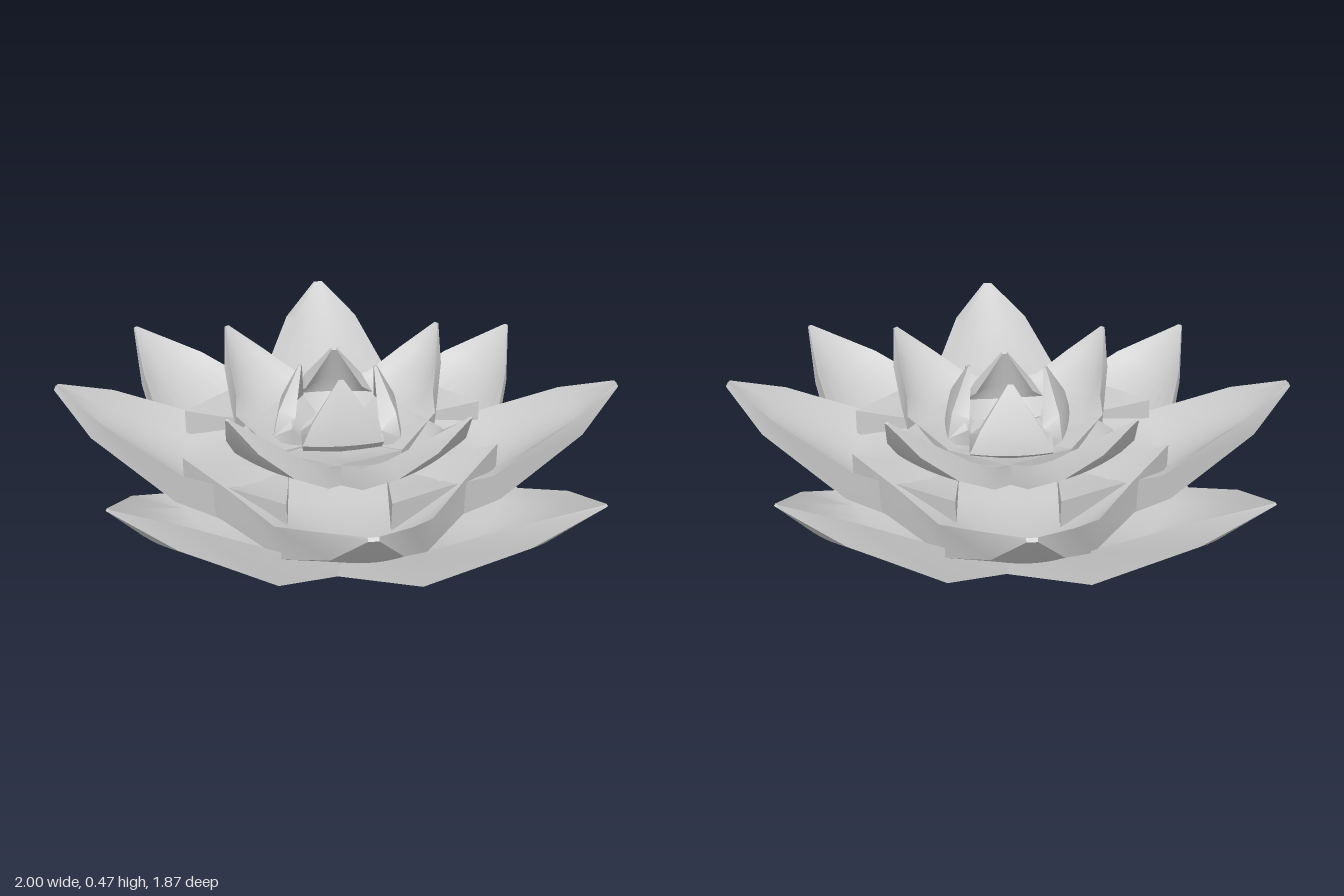
import * as THREE from 'three';
import { toCreasedNormals } from 'three/addons/utils/BufferGeometryUtils.js';

const material = new THREE.MeshStandardMaterial({ color: 0xcccccc, side: THREE.DoubleSide });
const SPAN = 8; // strips across a petal

// Closed petal from cross-sections: r, y on the underside midline, half width w
// (underside half width b), rim lift and thickness t along the profile normal.
function petalGeometry(stations) {
  const pos = [], index = [];
  const ring = 2 * (SPAN + 1);
  stations.forEach((s, i) => {
    const a = stations[Math.max(i - 1, 0)], b = stations[Math.min(i + 1, stations.length - 1)];
    const len = Math.hypot(b.r - a.r, b.y - a.y);
    const nr = -(b.y - a.y) / len, ny = (b.r - a.r) / len;
    const add = (x, h) => pos.push(x, s.y + ny * h, s.r + nr * h);
    for (let j = 0; j <= SPAN; j++) {
      const u = -1 + 2 * j / SPAN;
      add(u * s.b, s.lift * u * u * 0.2);
    }
    for (let j = SPAN; j >= 0; j--) {
      const u = -1 + 2 * j / SPAN;
      add(u * s.w, s.t + s.lift * u * u);
    }
  });
  // skin between neighbouring rings
  for (let i = 0; i < stations.length - 1; i++) {
    for (let j = 0; j < ring; j++) {
      const a = i * ring + j, b = i * ring + (j + 1) % ring;
      index.push(a, b, b + ring, a, b + ring, a + ring);
    }
  }
  // end caps
  const last = (stations.length - 1) * ring;
  for (let j = 0; j < SPAN; j++) {
    const k = ring - 1 - j;
    index.push(j, k, k - 1, j, k - 1, j + 1);
    index.push(last + j, last + j + 1, last + k - 1, last + j, last + k - 1, last + k);
  }
  const g = new THREE.BufferGeometry();
  g.setAttribute('position', new THREE.Float32BufferAttribute(pos, 3));
  g.setIndex(index);
  return toCreasedNormals(g, 0.8);
}

// Four petals of one kind, each turned and lengthened to reach its tip [x, z]
function whorl(name, stations, tips) {
  const group = new THREE.Group();
  group.name = name;
  const geometry = petalGeometry(stations);
  const reach = stations[stations.length - 1].r;
  tips.forEach(([x, z], i) => {
    const petal = new THREE.Mesh(geometry, material);
    petal.name = name + 'Petal' + (i + 1);
    petal.rotation.y = Math.atan2(x, z);
    petal.scale.z = Math.hypot(x, z) / reach;
    group.add(petal);
  });
  return group;
}

export function createModel() {
  const model = new THREE.Group();
  model.name = 'waterLily';

  // wide outer petals lying on the ground
  model.add(whorl('outer', [
    { r: 0.23, y: 0.01, w: 0.42, b: 0.44, lift: 0.03, t: 0.1 },
    { r: 0.57, y: 0.005, w: 0.27, b: 0.255, lift: 0.06, t: 0.06 },
    { r: 0.85, y: 0.19, w: 0.14, b: 0.115, lift: 0.06, t: 0.03 },
    { r: 1.0, y: 0.345, w: 0.006, b: 0.006, lift: 0, t: 0.008 },
  ], [[-0.02, 0.935], [1, 0], [0.02, -0.935], [-1, 0]]));

  // second ring, on the diagonals, with broad thick bases
  model.add(whorl('second', [
    { r: 0.16, y: 0.11, w: 0.5, b: 0.5, lift: 0.06, t: 0.09 },
    { r: 0.35, y: 0.105, w: 0.36, b: 0.36, lift: 0.06, t: 0.075 },
    { r: 0.55, y: 0.1, w: 0.235, b: 0.215, lift: 0.05, t: 0.06 },
    { r: 0.84, y: 0.27, w: 0.13, b: 0.1, lift: 0.06, t: 0.03 },
    { r: 0.96, y: 0.41, w: 0.015, b: 0.015, lift: 0, t: 0.012 },
  ], [[0.7, 0.65], [0.67, -0.61], [-0.7, -0.68], [-0.67, 0.61]]));

  // third ring, above the outer petals
  model.add(whorl('inner', [
    { r: 0, y: 0.2, w: 0.27, b: 0.27, lift: 0.03, t: 0.04 },
    { r: 0.28, y: 0.2, w: 0.2, b: 0.19, lift: 0.04, t: 0.04 },
    { r: 0.38, y: 0.25, w: 0.14, b: 0.13, lift: 0.04, t: 0.035 },
    { r: 0.48, y: 0.35, w: 0.08, b: 0.07, lift: 0.035, t: 0.025 },
    { r: 0.54, y: 0.465, w: 0.006, b: 0.006, lift: 0, t: 0.008 },
  ], [[0, 0.49], [0.53, 0], [-0.01, -0.54], [-0.54, 0.03 - 0.06]]));

  // upright cupped petals of the central bud
  model.add(whorl('bud', [
    { r: 0.13, y: 0.21, w: 0.12, b: 0.12, lift: 0.03, t: 0.03 },
    { r: 0.21, y: 0.28, w: 0.13, b: 0.13, lift: 0.05, t: 0.03 },
    { r: 0.195, y: 0.36, w: 0.095, b: 0.095, lift: 0.045, t: 0.025 },
    { r: 0.13, y: 0.48, w: 0.008, b: 0.008, lift: 0, t: 0.01 },
  ], [[0.08, 0.07], [0.09, -0.09], [-0.11, -0.11], [-0.1, 0.07]]));

  return model;
}
